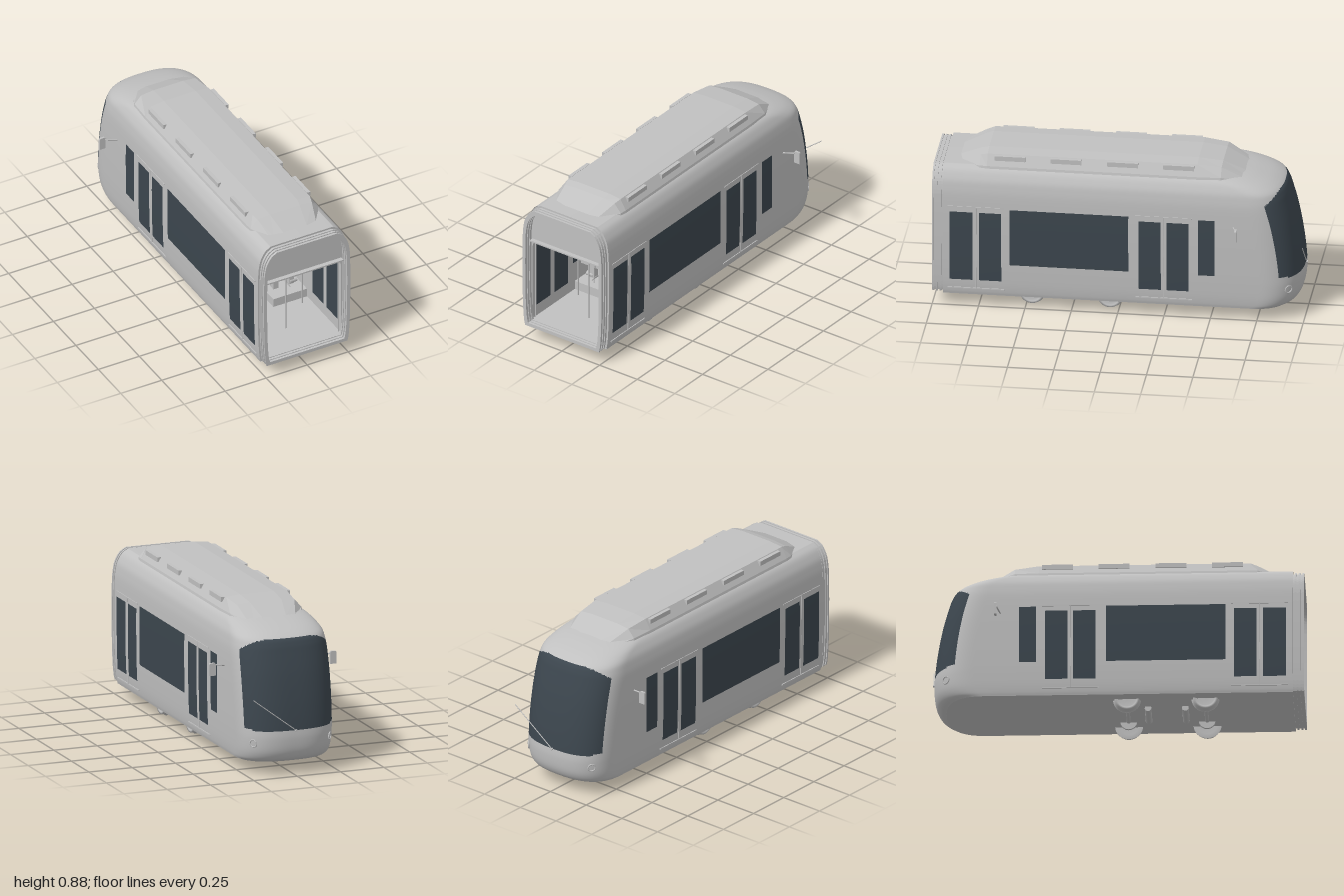
import * as THREE from 'three';

const body = new THREE.MeshStandardMaterial({ color: 0xc0c0c0, side: THREE.DoubleSide });
body.name = 'light grey';
const glass = new THREE.MeshStandardMaterial({ color: 0x3c464e });
glass.name = 'dark glass';

// Hull profile: half width, height, nose position
const profile = new THREE.CatmullRomCurve3([
  [.252, .07, -.92], [.257, .09, -.952], [.262, .13, -.975], [.266, .2, -.986], [.268, .26, -.984],
  [.27, .4, -.968], [.27, .55, -.94], [.267, .66, -.91], [.262, .7, -.897], [.256, .73, -.88],
  [.243, .76, -.83], [.222, .79, -.74], [.19, .81, -.65],
].map(p => new THREE.Vector3(...p))).getPoints(96);
const TAIL = .94;

function sideX(y) {
  const i = Math.max(1, profile.findIndex(p => p.y >= y));
  const a = profile[i - 1], b = profile[i];
  return a.x + (b.x - a.x) * (y - a.y) / (b.y - a.y);
}

// Point on the rounded nose of one horizontal ring
function nosePoint(p, t, out = 0) {
  const c = Math.cos(t), s = Math.max(0, Math.sin(t)), e = 2 / 2.6;
  return [(p.x + out) * Math.sign(c) * Math.abs(c) ** e, p.y, p.z - out + .22 * (1 - s ** e)];
}

export function createModel() {
  const model = new THREE.Group();
  const add = (name, geo, mat = body, x = 0, y = 0, z = 0, parent = model) => {
    const m = new THREE.Mesh(geo, mat);
    m.name = name;
    m.position.set(x, y, z);
    parent.add(m);
    return m;
  };
  const box = (name, w, h, d, x, y, z, mat = body) => add(name, new THREE.BoxGeometry(w, h, d), mat, x, y, z);
  const rod = (name, a, b, r, mat = body) => {
    const A = new THREE.Vector3(...a), B = new THREE.Vector3(...b), dir = B.clone().sub(A);
    const m = add(name, new THREE.CylinderGeometry(r, r, dir.length(), 16), mat);
    m.position.copy(A).add(B).multiplyScalar(.5);
    m.quaternion.setFromUnitVectors(new THREE.Vector3(0, 1, 0), dir.normalize());
    return m;
  };

  // Hull surface from stacked rings; cells inside the windscreen outline become glass
  const N = 96;
  function rings(rows, isGlass) {
    const pos = [], grey = [], dark = [], cols = N + 3;
    for (const p of rows) {
      pos.push(p.x, p.y, TAIL);
      for (let j = 0; j <= N; j++) pos.push(...nosePoint(p, Math.PI * j / N));
      pos.push(-p.x, p.y, TAIL);
    }
    for (let i = 0; i < rows.length - 1; i++) for (let j = 0; j < cols - 1; j++) {
      const a = i * cols + j, d = a + cols;
      const y = (rows[i].y + rows[i + 1].y) / 2, t = Math.PI * (j - .5) / N;
      (isGlass(y, t) ? dark : grey).push(a, a + 1, d, a + 1, d + 1, d);
    }
    const g = new THREE.BufferGeometry();
    g.setAttribute('position', new THREE.Float32BufferAttribute(pos, 3));
    g.setIndex([...grey, ...dark]);
    g.computeVertexNormals();
    return [grey, dark].map(index => g.clone().setIndex(index));
  }
  const last = profile[profile.length - 1], first = profile[0];
  const [hull, screen] = rings([...profile, new THREE.Vector3(0, .812, last.z)], (y, t) => {
    const c = Math.abs(Math.cos(t));
    return c < .93 && y > .25 + .015 * c ** 4 && y < .735 - .08 * c ** 4;
  });
  add('hull', hull);
  add('windscreen', screen, glass);
  add('underside', rings([new THREE.Vector3(0, first.y, first.z), first], () => false)[0]);

  // Tail wall, doorway and interior lining
  const section = inset => {
    const half = profile.filter((p, i) => i % 4 === 0)
      .map(p => new THREE.Vector2(p.x - inset, .07 + inset + (p.y - .07) * (1 - 2 * inset / .742)));
    return new THREE.Shape([...half, ...half.slice().reverse().map(p => new THREE.Vector2(-p.x, p.y))]);
  };
  const opening = (w, y0, y1, r) => new THREE.Shape().moveTo(-w, y0).lineTo(w, y0).lineTo(w, y1 - r)
    .quadraticCurveTo(w, y1, w - r, y1).lineTo(-w + r, y1).quadraticCurveTo(-w, y1, -w, y1 - r).lineTo(-w, y0);
  const extrude = (outer, hole, depth) => {
    outer.holes.push(hole);
    return new THREE.ExtrudeGeometry(outer, { depth, bevelEnabled: false, curveSegments: 8 });
  };
  const doorway = () => opening(.24, .092, .58, .05);
  add('tailWall', extrude(section(.002), doorway(), .01), body, 0, 0, .93);
  add('interiorLining', extrude(opening(.248, .08, .59, .05), doorway(), 1.53), body, 0, 0, -.6);
  add('cabBulkhead', new THREE.ShapeGeometry(doorway()), body, 0, 0, -.598);
  box('doorwayLintel', .48, .008, .03, 0, .584, .95);

  // Folding gangway
  for (let i = 0; i < 6; i++) {
    const inset = i % 2 ? .007 : .012;
    add('gangwayFold', extrude(section(inset), section(i % 2 ? .026 : .022), .01), body, 0, 0, .94 + i * .01);
  }

  // Roof fairing: z, half base, half top, height
  const stations = [[.865, .15, .13, .812], [.75, .207, .165, .864], [.71, .21, .175, .876], [-.42, .21, .175, .876],
    [-.55, .205, .165, .862], [-.68, .15, .12, .8]];
  const fp = [], fi = [];
  stations.forEach(([z, b, t, y], s) => {
    const half = [[b + .01, .77], [b, Math.min(.81, y - .012)], [t, y - .008], [t * .55, y]];
    [...half, ...half.slice().reverse().map(([x, h]) => [-x, h])].forEach(([x, h]) => fp.push(x, h, z));
    if (s) for (let j = 0; j < 7; j++) {
      const a = (s - 1) * 8 + j, d = a + 8;
      fi.push(a, d, a + 1, a + 1, d, d + 1);
    }
  });
  const fairing = new THREE.BufferGeometry();
  fairing.setAttribute('position', new THREE.Float32BufferAttribute(fp, 3));
  fairing.setIndex(fi);
  const flat = fairing.toNonIndexed();
  flat.computeVertexNormals();
  add('roofFairing', flat);
  const capEnd = new THREE.Shape([[-.16, .77], [.16, .77], [.15, .8], [.13, .804], [-.13, .804], [-.15, .8]]
    .map(p => new THREE.Vector2(...p)));
  add('fairingEnd', new THREE.ShapeGeometry(capEnd), body, 0, 0, .864);

  // Plate following the curved side
  function sidePlate(name, s, z0, z1, y0, y1, mat = glass, out = .002) {
    const g = new THREE.PlaneGeometry(Math.abs(z1 - z0), y1 - y0, 1, 8).rotateY(s * Math.PI / 2);
    g.translate(0, (y0 + y1) / 2, (z0 + z1) / 2);
    const p = g.attributes.position;
    for (let i = 0; i < p.count; i++) p.setX(i, s * (sideX(p.getY(i)) + out));
    g.computeVertexNormals();
    add(name, g, mat);
  }
  const panes = [[.905, .78, .16, .56], [.745, .625, .16, .56], [.58, -.06, .26, .585],
    [-.115, -.235, .16, .56], [-.265, -.385, .16, .56], [-.435, -.525, .26, .585]];

  for (const s of [1, -1]) {
    // Windows, seen from outside and inside
    for (const [z0, z1, y0, y1] of panes) {
      sidePlate('window', s, z0, z1, y0, y1);
      const inner = add('innerWindow', new THREE.PlaneGeometry(z0 - z1, Math.min(y1, .55) - y0), glass,
        s * .238, (Math.min(y1, .55) + y0) / 2, (z0 + z1) / 2);
      inner.rotation.y = -s * Math.PI / 2;
    }
    // Door rails and centre seals
    for (const zc of [.762, -.25]) {
      box('doorTopRail', .006, .006, .305, s * .27, .59, zc);
      box('doorSill', .008, .006, .305, s * .261, .11, zc);
      rod('doorSeal', [s * .263, .11, zc], [s * .271, .59, zc], .003);
    }
    // Roof vents
    for (const z of [.588, .285, -.02, -.322]) box('roofVent', .02, .026, .166, s * .189, .852, z);
    // Mirrors
    rod('mirrorArm', [s * .266, .55, -.625], [s * .335, .562, -.645], .004);
    const mirror = opening(.018, -.035, .035, .01);
    add('mirrorHead', new THREE.ExtrudeGeometry(mirror, { depth: .012, bevelEnabled: false }), body, s * .348, .54, -.655);
    // Headlights
    const spot = nosePoint(profile.find(p => p.y > .18), Math.PI / 2 - s * .9, .001);
    const lamp = add('headlight', new THREE.TorusGeometry(.02, .004, 8, 24), body, ...spot);
    lamp.lookAt(spot[0] * 2.2, .16, spot[2] - .2);

    // Wheels, brake discs and axle boxes
    for (const z of [.47, .05]) {
      const wheel = new THREE.LatheGeometry([[0, -.01], [.045, -.008], [.055, -.016], [.066, -.016], [.068, .006],
        [.075, .009], [.075, .015], [.05, .012], [0, .012]].map(p => new THREE.Vector2(...p)), 32);
      add('wheel', wheel, body, s * .18, .075, z).rotation.z = s * Math.PI / 2;
      rod('brakeDisc', [s * .106, .075, z], [s * .119, .075, z], .045);
      rod('axleBox', [s * .18, .158, z], [s * .222, .158, z], .014);
    }
    // Seats on plinths
    box('seatPlinth', .205, .05, .6, s * .137, .117, .26);
    for (const [z, dir] of [[.46, 1], [.3, -1], [.22, 1], [.06, -1]]) for (const x of [.093, .19]) {
      box('seatCushion', .092, .024, .085, s * x, .243, z);
      box('seatBack', .092, .17, .012, s * x, .316, z + dir * .042);
      box('seatLeg', .03, .09, .04, s * x, .187, z);
    }
    // Grab poles
    for (const z of [.6, -.09]) rod('grabPole', [s * .188, .09, z], [s * .188, .575, z], .004);
    rod('doorPole', [s * .234, .09, .92], [s * .234, .575, .92], .003);
  }
  for (const z of [.76, -.25]) rod('centrePole', [0, .09, z], [0, .58, z], .004);
  for (const z of [.47, .05]) rod('axle', [-.17, .075, z], [.17, .075, z], .012);
  for (const z of [.36, .16]) rod('motor', [-.095, .06, z], [.075, .06, z], .018);

  // Cab bulkhead displays
  box('displayFrame', .146, .056, .012, 0, .54, -.59);
  box('display', .136, .046, .006, 0, .54, -.582, glass);
  box('monitor', .115, .075, .008, -.128, .438, .52, glass);
  rod('monitorStem', [-.145, .14, .515], [-.145, .42, .515], .003);

  // Wiper
  rod('wiperArm', [0, .25, -.988], [.25, .44, -.997], .0025);
  rod('wiperPivot', [0, .25, -.975], [0, .25, -.995], .006);
  return model;
}
